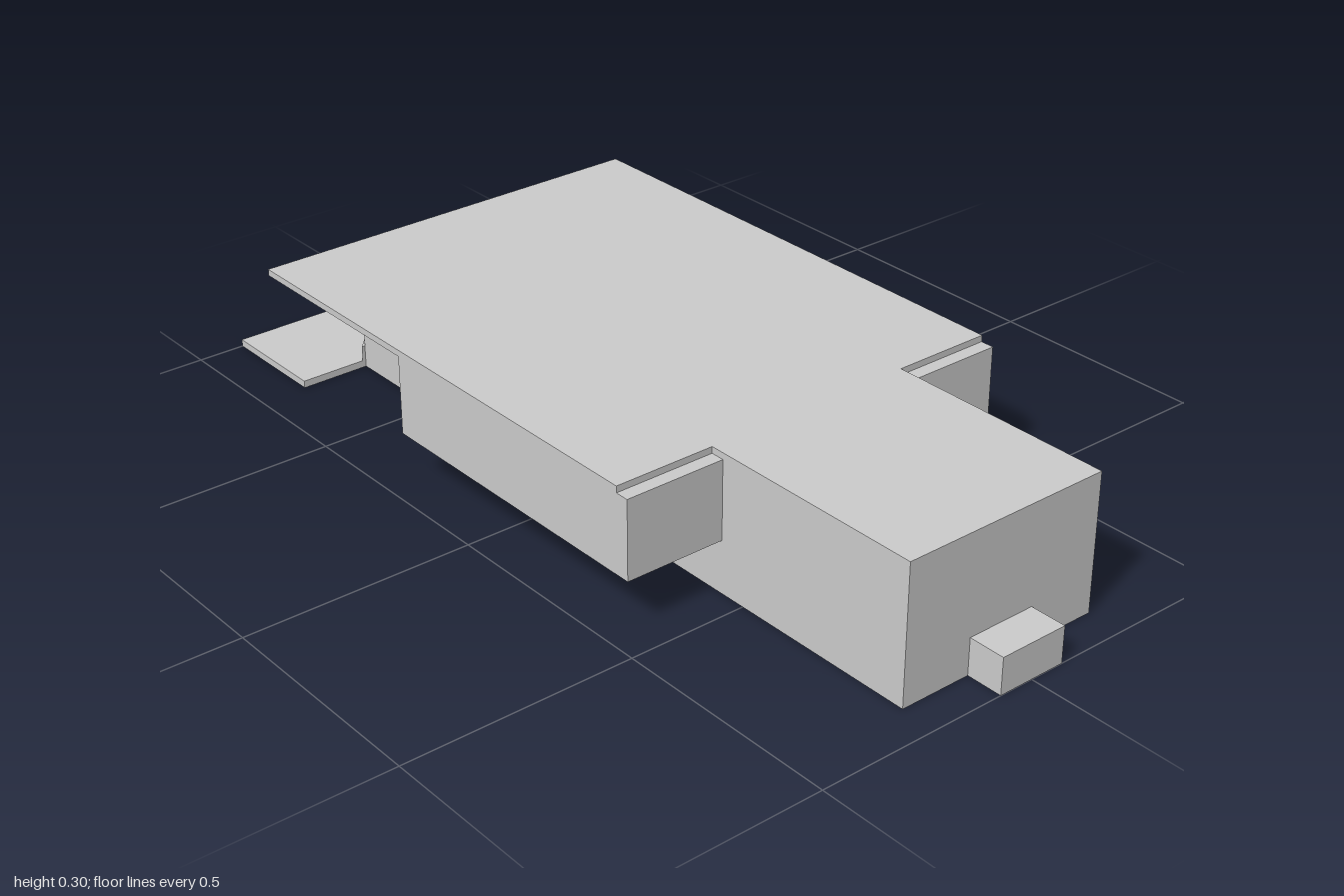
import * as THREE from 'three';

export function createModel() {
  const model = new THREE.Group();
  const material = new THREE.MeshStandardMaterial({ color: 0xcccccc, flatShading: true });

  const add = (name, geometry) => {
    const mesh = new THREE.Mesh(geometry, material);
    mesh.name = name;
    model.add(mesh);
    return mesh;
  };

  // Horizontal slab from a floor plan of [x, z] points, between two heights
  const toPoints = (plan) => plan.map(([x, z]) => new THREE.Vector2(x, -z));
  const slab = (name, plan, y0, y1, hole) => {
    const shape = new THREE.Shape(toPoints(plan));
    if (hole) shape.holes.push(new THREE.Path(toPoints(hole)));
    const geometry = new THREE.ExtrudeGeometry(shape, { depth: y1 - y0, bevelEnabled: false });
    return add(name, geometry.rotateX(-Math.PI / 2).translate(0, y0, 0));
  };
  const rect = (x0, x1, z0, z1) => [[x0, z0], [x1, z0], [x1, z1], [x0, z1]];
  const mirror = (plan, side) => plan.map(([x, z]) => [x * side, z]);

  const rear = -0.745, nose = 0.92, half = 0.238;

  // Hull: plain lower block, upper block with a small slot in the rear wall
  slab('lowerHull', rect(-half, half, rear, nose), 0, 0.2);
  slab('upperHull', [
    [-half, nose], [half, nose], [half, rear], [0.03, rear], [0.03, rear + 0.025],
    [-0.03, rear + 0.025], [-0.03, rear], [-half, rear],
  ], 0.2, 0.286);

  // Roof: wide over the pods and rear, narrow over the nose
  slab('roof', [
    [-half, nose], [half, nose], [half, 0.41], [0.46, 0.41],
    [0.46, rear], [-0.46, rear], [-0.46, 0.41], [-half, 0.41],
  ], 0.286, 0.3);

  // Front block and rear ground plate
  slab('noseBlock', rect(-0.078, 0.078, nose, 1), 0, 0.08);
  slab('rearPlate', rect(-0.395, 0.395, -1, rear), 0, 0.016);

  for (const side of [1, -1]) {
    // Side pod with a square opening in its underside
    const pod = mirror(rect(half, 0.46, -0.27, 0.44), side);
    const opening = mirror(rect(0.285, 0.38, -0.245, -0.17), side);
    slab('podBase', pod, 0.115, 0.165, opening);
    slab('podTop', pod, 0.165, 0.286);

    // Low rail running from the hull corner to the rear tip
    slab('rearRail', mirror([[0, -1], [0.013, -1], [0.246, rear], [0.23, rear]], side), 0.016, 0.05);
  }

  // Sloping flap on the rear wall
  const flap = new THREE.Shape([[0, 0.238], [0.085, 0.206], [0.082, 0.196], [0, 0.227]]
    .map(([out, y]) => new THREE.Vector2(out, y)));
  const flapGeometry = new THREE.ExtrudeGeometry(flap, { depth: 2 * half, bevelEnabled: false });
  add('rearFlap', flapGeometry.translate(0, 0, -half).rotateY(Math.PI / 2).translate(0, 0, rear));

  return model;
}
